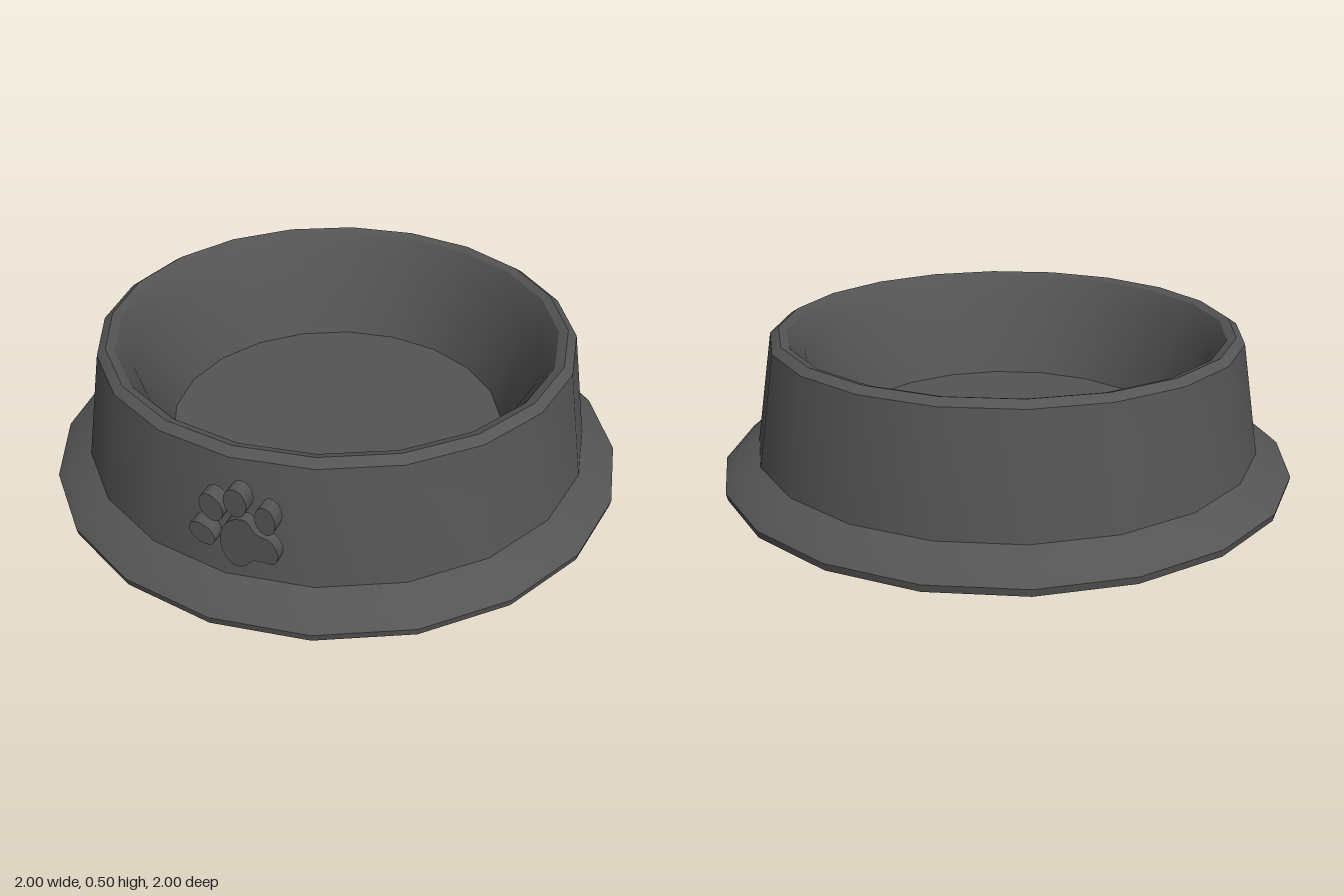
import * as THREE from 'three';
import { toCreasedNormals } from 'three/addons/utils/BufferGeometryUtils.js';

const material = new THREE.MeshStandardMaterial({ color: 0x545454 });
const SIDES = 20;

function addMesh(parent, geometry, name, crease) {
  const mesh = new THREE.Mesh(toCreasedNormals(geometry, crease), material);
  mesh.name = name;
  parent.add(mesh);
  return mesh;
}

function extrude(shape, depth) {
  return new THREE.ExtrudeGeometry(shape, { depth, bevelEnabled: false, curveSegments: 20 });
}

export function createModel() {
  const model = new THREE.Group();
  model.name = 'petBowl';

  // Bowl: one closed profile from the recessed underside, over the rim, to the floor
  const profile = [
    [0, 0.088], [0.875, 0.088], [0.955, 0.045], [0.985, 0], // hollow underside
    [0.995, 0], [1, 0.025], [0.965, 0.055], [0.88, 0.1],    // flared foot
    [0.815, 0.485], [0.785, 0.505], [0.755, 0.495],         // outer wall and rim
    [0.7, 0.423], [0.59, 0.128], [0, 0.128],                // inner lip, wall and floor
  ].map(([r, y]) => new THREE.Vector2(r, y));
  addMesh(model, new THREE.LatheGeometry(profile, SIDES), 'bowl', 0.45);

  // Paw emblem standing at the front wall
  const paw = new THREE.Group();
  paw.name = 'pawEmblem';
  paw.position.z = 0.848;
  model.add(paw);

  // Toes: x, y, half width, half height, tilt
  const toes = [
    [-0.06, 0.248, 0.033, 0.046, 0.95],
    [-0.024, 0.355, 0.036, 0.048, 0.4],
    [0.055, 0.393, 0.036, 0.048, 0.05],
    [0.148, 0.355, 0.032, 0.048, 0.1],
  ];
  toes.forEach(([x, y, rx, ry, tilt], i) => {
    const shape = new THREE.Shape();
    shape.absellipse(0, 0, rx, ry, 0, Math.PI * 2);
    const toe = addMesh(paw, extrude(shape, 0.048), `pawToe${i + 1}`, 0.9);
    toe.position.set(x, y, 0);
    toe.rotation.z = tilt;
  });

  // Main pad: smooth closed outline, slightly thinner than the toes
  const outline = [
    [0.083, 0.327], [0.045, 0.323], [0.013, 0.297], [-0.005, 0.255], [-0.006, 0.215],
    [0.008, 0.172], [0.037, 0.147], [0.07, 0.155], [0.095, 0.182], [0.128, 0.19],
    [0.167, 0.193], [0.18, 0.232], [0.158, 0.275], [0.11, 0.29],
  ].map(([x, y]) => new THREE.Vector3(x, y, 0));
  const curve = new THREE.CatmullRomCurve3(outline, true);
  const pad = new THREE.Shape(curve.getPoints(42).slice(0, -1).map((p) => new THREE.Vector2(p.x, p.y)));
  addMesh(paw, extrude(pad, 0.037), 'pawPad', 0.9);

  return model;
}
